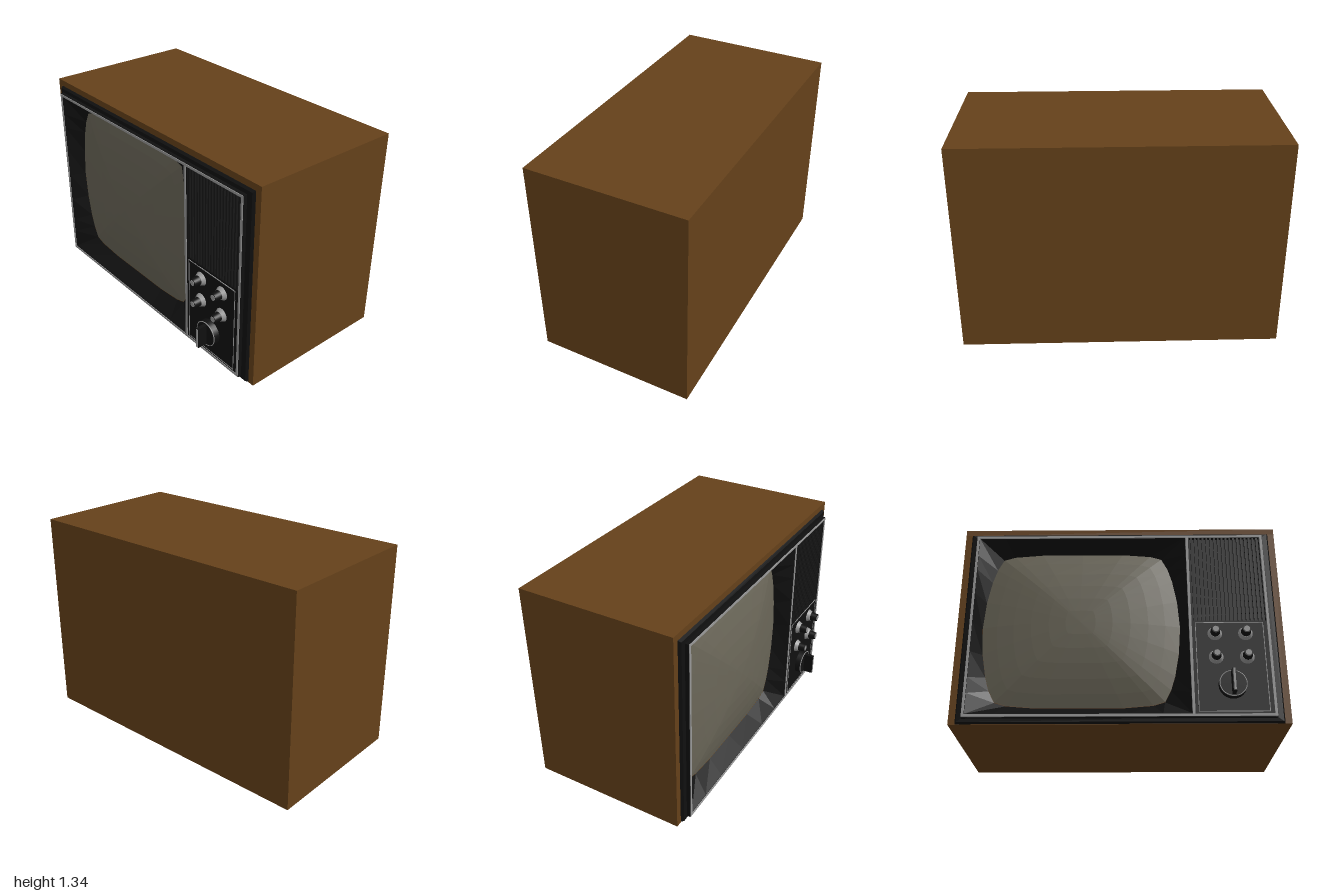
import * as THREE from 'three';

const mat = (color, extra = {}) => new THREE.MeshStandardMaterial({ color, ...extra });
const wood = mat(0x65411a);
const black = mat(0x101010);
const blackFlat = mat(0x101010, { flatShading: true });
const dark = mat(0x181818);
const silver = mat(0x999999);
const glass = mat(0x6a6658, { flatShading: true });

function add(parent, name, geometry, material, x = 0, y = 0, z = 0) {
  const mesh = new THREE.Mesh(geometry, material);
  mesh.name = name;
  mesh.position.set(x, y, z);
  parent.add(mesh);
  return mesh;
}

// Box given by its limits on each axis
function block(parent, name, material, x0, x1, y0, y1, z0, z1) {
  return add(parent, name, new THREE.BoxGeometry(x1 - x0, y1 - y0, z1 - z0), material,
    (x0 + x1) / 2, (y0 + y1) / 2, (z0 + z1) / 2);
}

// Four bars around a rectangle
function outline(parent, name, material, x0, x1, y0, y1, w, z0, z1) {
  const g = new THREE.Group();
  g.name = name;
  block(g, 'leftBar', material, x0, x0 + w, y0, y1, z0, z1);
  block(g, 'rightBar', material, x1 - w, x1, y0, y1, z0, z1);
  block(g, 'bottomBar', material, x0 + w, x1 - w, y0, y0 + w, z0, z1);
  block(g, 'topBar', material, x0 + w, x1 - w, y1 - w, y1, z0, z1);
  parent.add(g);
}

// Skin between closed rings of equal point count, counter-clockwise from the front
function loft(rings) {
  const n = rings[0].length, pos = [], index = [];
  rings.forEach(r => r.forEach(p => pos.push(...p)));
  for (let k = 0; k < rings.length - 1; k++) {
    for (let i = 0; i < n; i++) {
      const a = k * n + i, b = k * n + (i + 1) % n;
      index.push(a, b, b + n, a, b + n, a + n);
    }
  }
  const g = new THREE.BufferGeometry();
  g.setAttribute('position', new THREE.Float32BufferAttribute(pos, 3));
  g.setIndex(index);
  g.computeVertexNormals();
  return g;
}

const rectRing = (x0, x1, y0, y1, z) => [[x0, y0, z], [x1, y0, z], [x1, y1, z], [x0, y1, z]];
const rectPoints = (x0, x1, y0, y1) => rectRing(x0, x1, y0, y1, 0).map(p => new THREE.Vector2(p[0], p[1]));

// Mirrors a quarter outline into a full loop
function fullLoop(q) {
  const back = q.slice(0, -1).reverse();
  const half = [...q, ...back.map(([x, y]) => [-x, y])];
  return [...half, ...half.slice(1, -1).reverse().map(([x, y]) => [x, -y])];
}

export function createModel() {
  const model = new THREE.Group();
  model.name = 'television';

  // Wooden cabinet with a projecting front rim
  const cabinet = new THREE.Group();
  cabinet.name = 'cabinet';
  model.add(cabinet);
  block(cabinet, 'cabinetBody', wood, -1, 1, 0, 1.34, -0.58, 0.3);
  block(cabinet, 'cabinetTopRim', wood, -1, 1, 1.3, 1.34, 0.3, 0.43);
  block(cabinet, 'cabinetBottomRim', wood, -0.96, 0.96, 0, 0.004, 0.3, 0.43);
  for (const s of [-1, 1]) {
    block(cabinet, 'cabinetSideRim', wood, s * 0.98 - 0.02, s * 0.98 + 0.02, 0, 1.3, 0.3, 0.43);
  }

  // Bevelled surround and face plate with openings for screen and grille
  add(model, 'surround', loft([
    rectRing(-0.96, 0.96, 0.002, 1.3, 0.428),
    rectRing(-0.95, 0.95, 0.01, 1.29, 0.447),
    rectRing(-0.915, 0.915, 0.035, 1.265, 0.449),
  ]), blackFlat);
  const plate = new THREE.Shape(rectPoints(-0.92, 0.915, 0.03, 1.267));
  plate.holes.push(new THREE.Path(rectPoints(-0.9, 0.42, 0.052, 1.252)));
  plate.holes.push(new THREE.Path(rectPoints(0.445, 0.892, 0.65, 1.248)));
  add(model, 'facePlate', new THREE.ExtrudeGeometry(plate, { depth: 0.05, bevelEnabled: false }),
    black, 0, 0, 0.422);

  // Screen outline and the rectangle its sloping mask grows from
  const corner = 4, hw = 0.66, hh = 0.6;
  const quarter = [[0.615, 0], [0.602, 0.18], [0.575, 0.33], [0.548, 0.42], [0.51, 0.495],
    [0.44, 0.517], [0.26, 0.532], [0, 0.532]];
  const edge = fullLoop(quarter);
  const opening = fullLoop(quarter.map(([x, y], i) =>
    [i <= corner ? hw : x * 1.12, i >= corner ? hh : y * 1.12]));
  const ring = (loop, s, z) => loop.map(([x, y]) => [x * s, y * s, z]);
  add(model, 'screenMask', loft([ring(opening, 1, 0.472), ring(edge, 1, 0.37)]),
    blackFlat, -0.24, 0.652);
  const steps = [1, 0.85, 0.68, 0.5, 0.32, 0.15, 0];
  add(model, 'screen', loft(steps.map(s => ring(edge, s, 0.37 + 0.08 * (1 - s * s)))),
    glass, -0.24, 0.655);

  // Metal trim around the face and between screen and controls
  outline(model, 'faceTrim', silver, -0.917, 0.912, 0.033, 1.265, 0.015, 0.46, 0.476);
  block(model, 'divider', silver, 0.422, 0.438, 0.048, 1.25, 0.45, 0.476);

  // Speaker grille of upright slats
  const grille = new THREE.Group();
  grille.name = 'speakerGrille';
  model.add(grille);
  block(grille, 'grilleBack', black, 0.44, 0.897, 0.645, 1.25, 0.43, 0.45);
  for (let i = 0; i < 18; i++) {
    const x = 0.459 + i * 0.0246;
    block(grille, 'slat', dark, x - 0.006, x + 0.006, 0.65, 1.248, 0.45, 0.47);
  }

  // Control panel
  block(model, 'controlPanel', black, 0.458, 0.872, 0.06, 0.637, 0.46, 0.474);
  outline(model, 'controlTrim', silver, 0.458, 0.872, 0.06, 0.637, 0.004, 0.47, 0.476);

  // Four small knobs: metal skirt, dark grip, metal cap
  const turned = (r0, r1, h) => new THREE.CylinderGeometry(r1, r0, h, 24).rotateX(Math.PI / 2);
  for (const x of [0.575, 0.76]) {
    for (const y of [0.56, 0.405]) {
      const knob = new THREE.Group();
      knob.name = 'smallKnob';
      knob.position.set(x, y, 0.474);
      add(knob, 'knobSkirt', turned(0.044, 0.032, 0.024), silver, 0, 0, 0.012);
      add(knob, 'knobGrip', turned(0.03, 0.025, 0.045), black, 0, 0, 0.046);
      add(knob, 'knobCap', turned(0.018, 0.018, 0.004), silver, 0, 0, 0.069);
      model.add(knob);
    }
  }

  // Large channel dial with a raised finger bar
  const dial = new THREE.Group();
  dial.name = 'channelDial';
  dial.position.set(0.662, 0.222, 0.474);
  add(dial, 'dialBase', turned(0.083, 0.08, 0.04), black, 0, 0, 0.02);
  add(dial, 'dialRing', new THREE.TorusGeometry(0.079, 0.003, 6, 40), silver, 0, 0, 0.039);
  block(dial, 'fingerBar', black, -0.011, 0.011, -0.07, 0.07, 0.04, 0.104);
  block(dial, 'pointer', silver, -0.006, 0.006, -0.066, 0.066, 0.104, 0.107);
  model.add(dial);

  return model;
}
